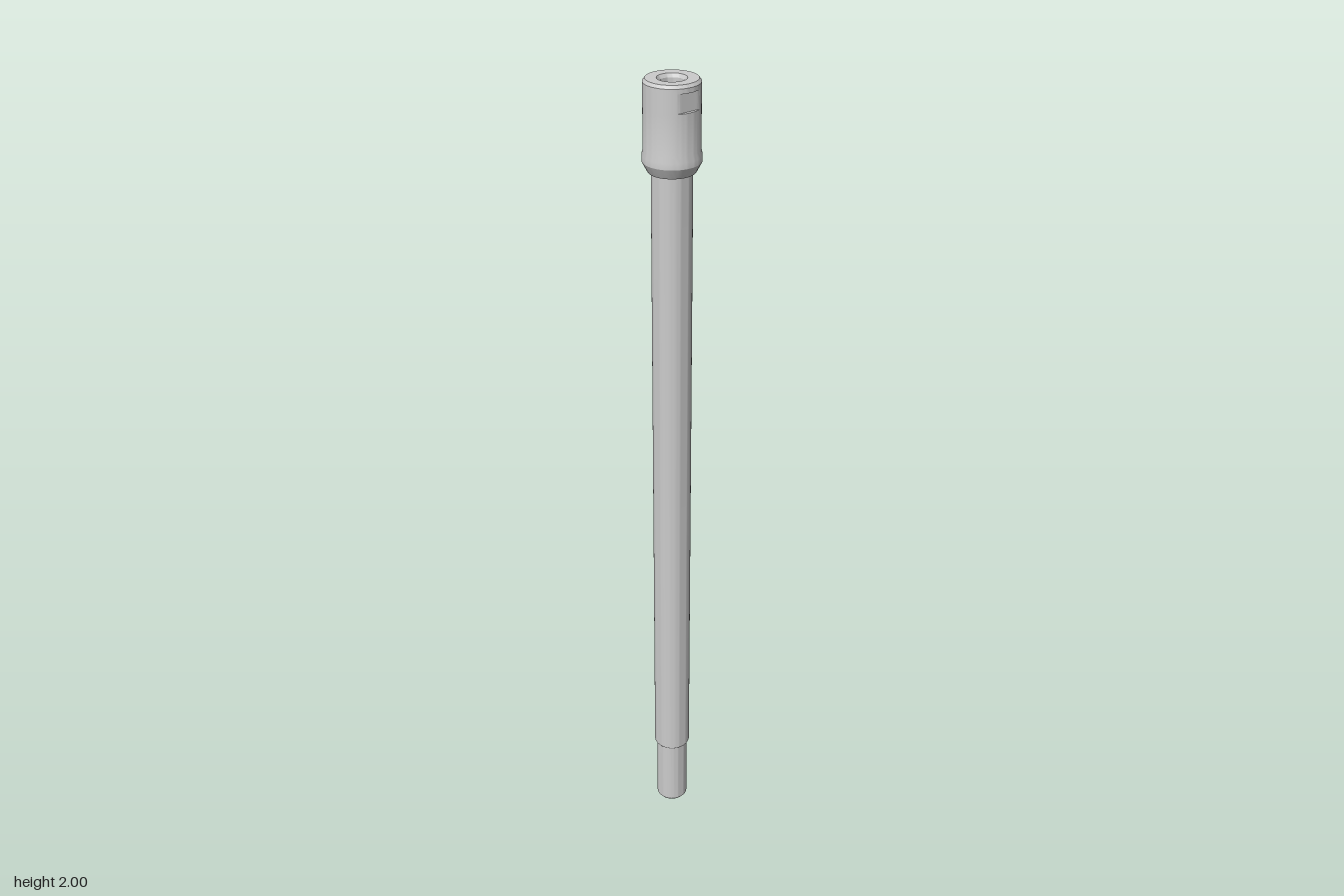
import * as THREE from 'three';
import { toCreasedNormals } from 'three/addons/utils/BufferGeometryUtils.js';

const material = new THREE.MeshStandardMaterial({ color: 0xcccccc });

// Turned part from [radius, y] pairs; optional rule moves vertices of the ring
function turned(name, profile, segments = 64, rule) {
  const points = profile.map(([r, y]) => new THREE.Vector2(r, y));
  const geometry = new THREE.LatheGeometry(points, segments);
  if (rule) {
    const pos = geometry.attributes.position;
    for (let i = 0; i < pos.count; i++) rule(pos, i);
  }
  const mesh = new THREE.Mesh(toCreasedNormals(geometry, 0.4), material);
  mesh.name = name;
  return mesh;
}

export function createModel() {
  const group = new THREE.Group();
  group.name = 'hollowShaft';

  // Narrow lower end with a chamfered mouth
  group.add(turned('lowerSpigot', [
    [0.023, 0.012], [0.029, 0], [0.037, 0], [0.04, 0.004], [0.04, 0.195],
  ]));

  // Long main tube
  group.add(turned('mainTube', [
    [0.038, 0.19], [0.044, 0.19], [0.046, 0.193], [0.046, 1.805],
  ]));

  // Collar head: flared foot, straight body, chamfered rim and countersunk mouth.
  // Two shallow wrench flats are cut into its sides.
  const flatLow = 1.94, flatHigh = 1.982, flatX = 0.056;
  const cutFlats = (pos, i) => {
    const y = pos.getY(i);
    if (y > flatLow + 0.0002 && y < flatHigh - 0.0002) {
      pos.setX(i, THREE.MathUtils.clamp(pos.getX(i), -flatX, flatX));
    }
  };
  group.add(turned('collarHead', [
    [0.044, 1.797], [0.053, 1.797], [0.056, 1.802], [0.066, 1.821],
    [0.066, 1.835], [0.063, 1.848],
    [0.063, flatLow], [0.063, flatLow + 0.0005],
    [0.063, flatHigh - 0.0005], [0.063, flatHigh],
    [0.063, 1.993], [0.058, 2], [0.033, 2], [0.028, 1.992], [0.028, 1.96], [0.022, 1.955],
  ], 64, cutFlats));

  // Ten-sided bore running right through, facing inward
  group.add(turned('bore', [[0.0235, 1.957], [0.0235, 0.012]], 10));

  return group;
}
